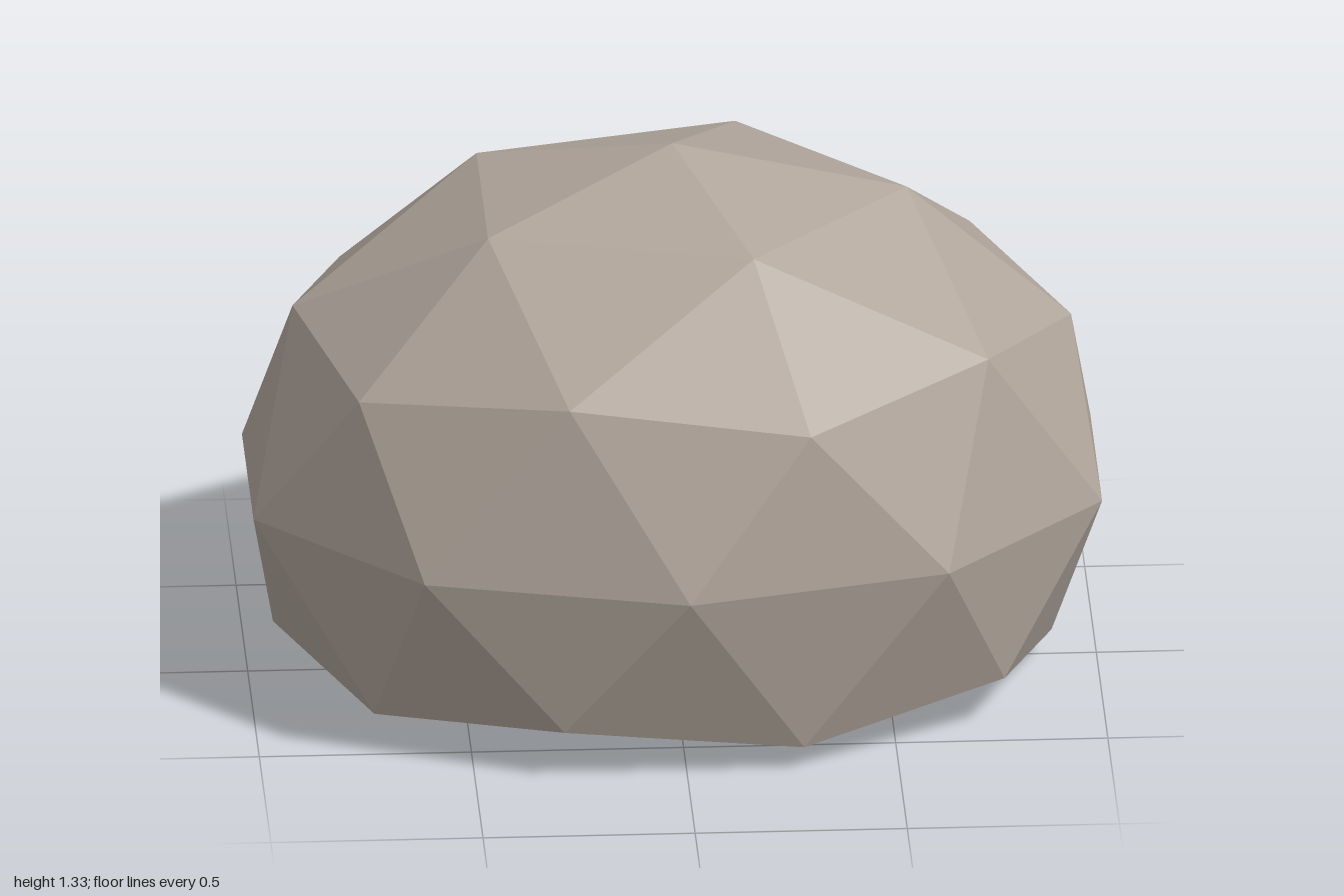
import * as THREE from 'three';

export function createModel() {
  const group = new THREE.Group();
  group.name = 'boulder';

  const stone = new THREE.MeshStandardMaterial({ color: 0xb0a59b, flatShading: true });
  stone.name = 'warm grey stone';

  // Faceted ball, turned so that one corner points straight up
  const geometry = new THREE.IcosahedronGeometry(1, 1);
  const golden = (1 + Math.sqrt(5)) / 2;
  geometry.rotateZ(-Math.atan(1 / golden));

  // Stretch into an oval and raise its widest ring above the ground
  geometry.scale(1.0515, 0.834, 0.808);
  geometry.translate(0, 0.5, 0);

  // Press the underside flat against the ground
  const position = geometry.attributes.position;
  for (let i = 0; i < position.count; i++) {
    position.setY(i, Math.max(0, position.getY(i)));
  }
  geometry.computeVertexNormals();

  const rock = new THREE.Mesh(geometry, stone);
  rock.name = 'rock';
  group.add(rock);
  return group;
}
